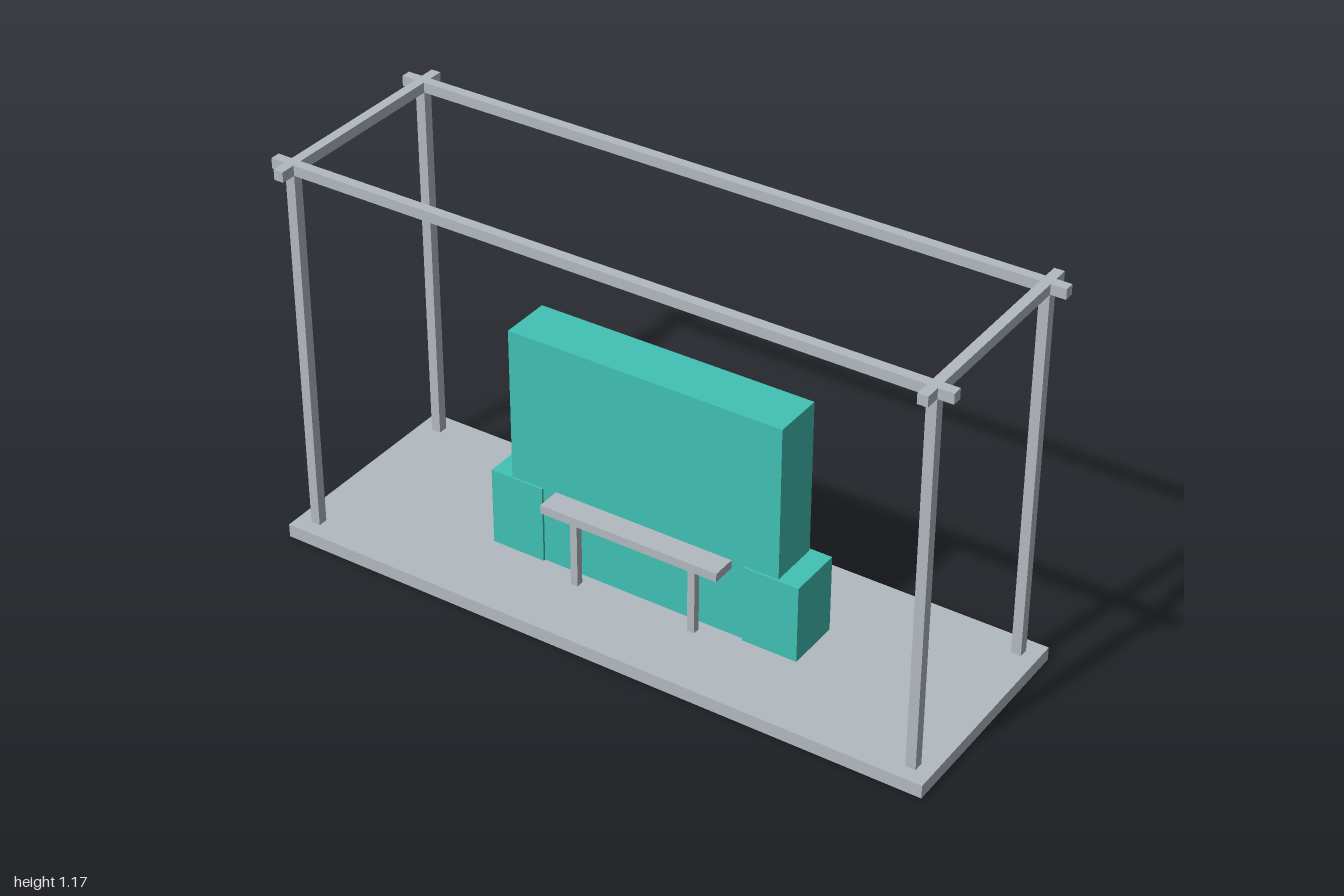
import * as THREE from 'three';

export function createModel() {
  const model = new THREE.Group();
  model.name = 'shelter';

  const grey = new THREE.MeshStandardMaterial({ color: 0xb2b9c0 });
  grey.name = 'grey metal';
  const teal = new THREE.MeshStandardMaterial({ color: 0x41c2b4 });
  teal.name = 'teal panel';

  // Box of size w, d spanning y0..y1, centred on x, z
  function box(name, material, w, d, y0, y1, x = 0, z = 0) {
    const mesh = new THREE.Mesh(new THREE.BoxGeometry(w, y1 - y0, d), material);
    mesh.name = name;
    mesh.position.set(x, (y0 + y1) / 2, z);
    model.add(mesh);
  }

  const floor = 0.04, roofBottom = 1.137, roofTop = 1.167;
  const postX = 0.942, postZ = 0.275, bar = 0.029;

  box('base', grey, 2, 0.667, 0, floor);

  // Central wall with a lower block at each end
  box('wall', teal, 0.84, 0.153, 0.001, 0.735);

  // Bench top passes through the wall, so there is a seat on both sides
  box('benchTop', grey, 0.554, 0.298, 0.252, 0.278);

  for (const s of [-1, 1]) {
    box('endBlock', teal, 0.166, 0.167, floor, 0.275, s * 0.401, 0);

    // Roof beams cross at the corners and overhang
    box('longBeam', grey, 2, bar, roofBottom, roofTop, 0, s * postZ);
    box('crossBeam', grey, bar, 0.667, roofBottom, roofTop, s * postX, 0);

    for (const t of [-1, 1]) {
      box('post', grey, bar, bar, floor, roofBottom, s * postX, t * postZ);
      box('benchLeg', grey, 0.022, 0.022, floor, 0.252, s * 0.186, t * 0.117);
    }
  }
  return model;
}
